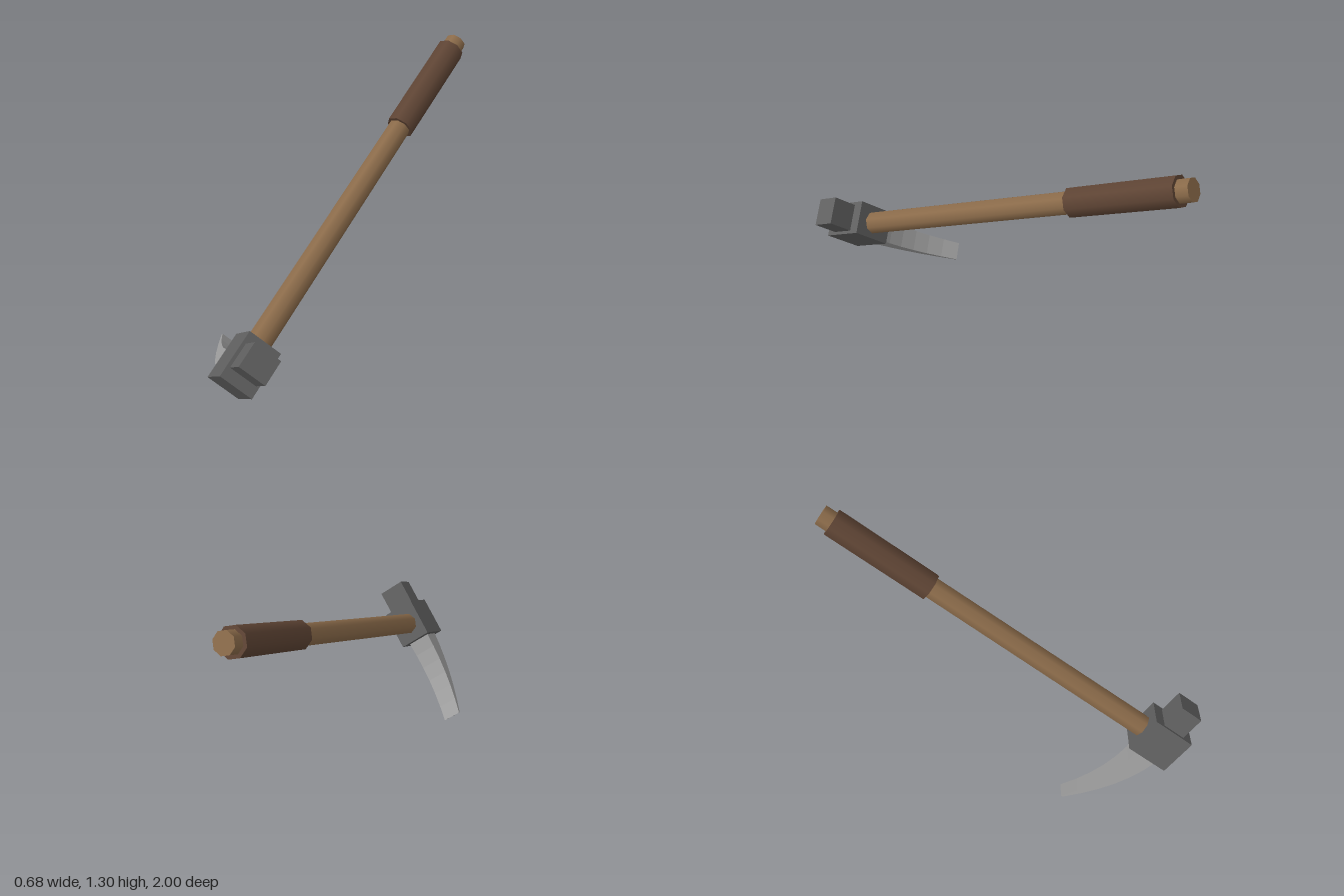
import * as THREE from 'three';

const paint = (name, color) => {
  const m = new THREE.MeshStandardMaterial({ color });
  m.name = name;
  return m;
};

export function createModel() {
  const wood = paint('wood', 0x8b6b4a);
  const leather = paint('leather wrap', 0x5e4434);
  const iron = paint('dark iron', 0x5f5f5f);
  const steel = paint('steel', 0x9c9c9c);

  // Built upright: handle along +y, hammer towards +x, pick towards -x
  const tool = new THREE.Group();
  tool.name = 'pickHammer';
  const add = (name, geometry, material, x = 0, y = 0) => {
    const mesh = new THREE.Mesh(geometry, material);
    mesh.name = name;
    mesh.position.set(x, y, 0);
    tool.add(mesh);
  };
  const rod = (name, rTop, rBottom, y0, y1, material) =>
    add(name, new THREE.CylinderGeometry(rTop, rBottom, y1 - y0, 8), material, 0, (y0 + y1) / 2);

  // Handle and grip
  rod('handle', 0.053, 0.06, 0, 2.036, wood);
  rod('grip', 0.071, 0.071, 1.431, 1.977, leather);

  // Head block and hammer face
  add('headBlock', new THREE.BoxGeometry(0.212, 0.236, 0.175), iron);
  add('hammerFace', new THREE.BoxGeometry(0.159, 0.125, 0.142), iron, 0.16);

  // Pick: a bar bent towards the handle and tapered to a thin chisel tip
  const pick = new THREE.BoxGeometry(1, 1, 1, 6, 1, 1).toNonIndexed();
  const p = pick.attributes.position;
  for (let i = 0; i < p.count; i++) {
    const s = 0.5 - p.getX(i);
    const thickness = THREE.MathUtils.lerp(0.125, 0.012, s);
    const width = THREE.MathUtils.lerp(0.125, 0.097, s);
    p.setXYZ(i, -0.1 - 0.495 * s, 0.175 * s * s + p.getY(i) * thickness, p.getZ(i) * width);
  }
  pick.computeVertexNormals();
  add('pick', pick, steel);

  // Lean the tool into its resting pose
  const up = new THREE.Vector3(0.105, 0.447, -0.888).normalize();
  const side = new THREE.Vector3(0.637, 0.66, 0.401);
  side.addScaledVector(up, -side.dot(up)).normalize();
  const across = new THREE.Vector3().crossVectors(side, up);
  tool.quaternion.setFromRotationMatrix(new THREE.Matrix4().makeBasis(side, up, across));
  tool.position.set(0.057, 0.35, 0.831);

  const model = new THREE.Group();
  model.name = 'model';
  model.add(tool);
  return model;
}
